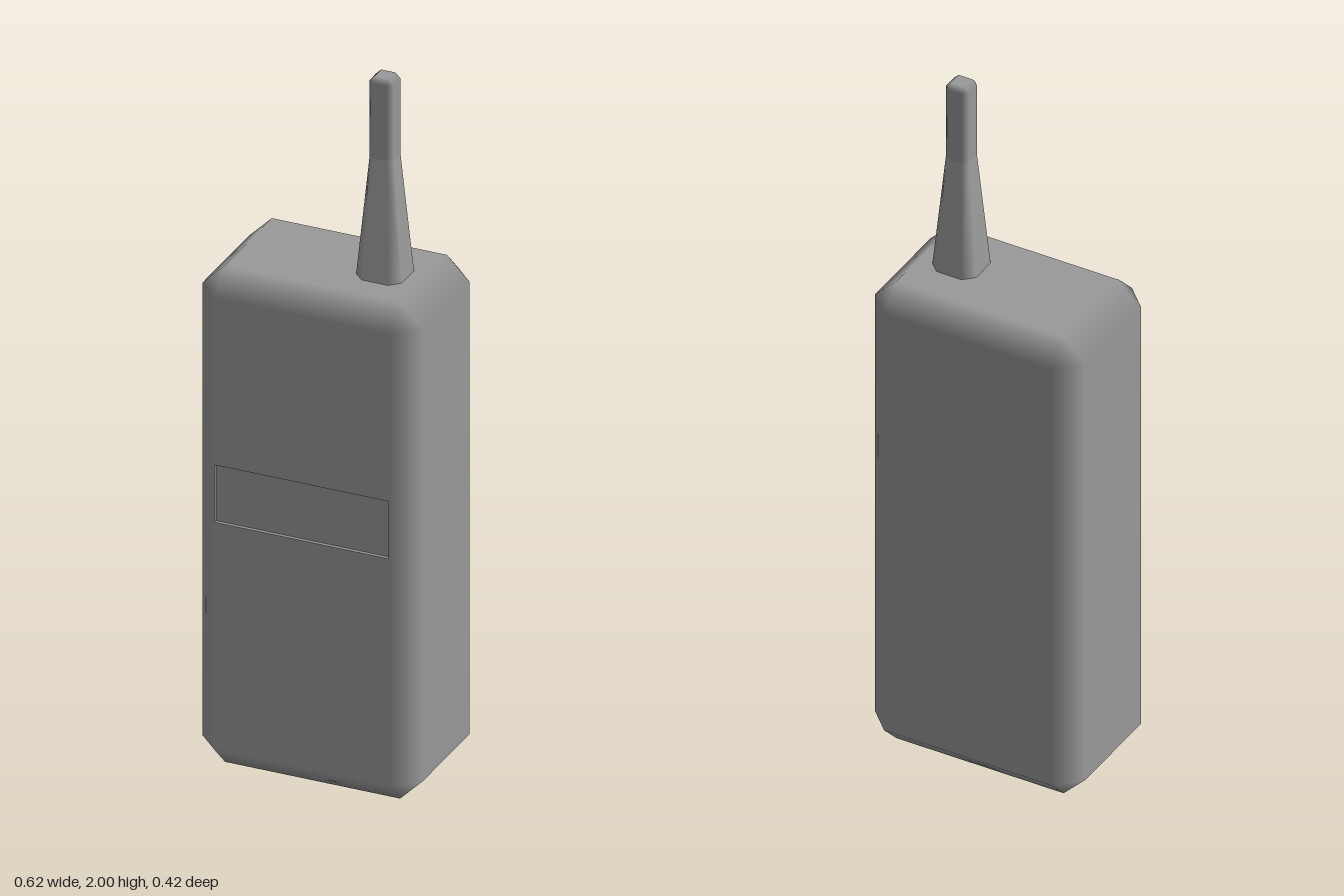
import * as THREE from 'three';
import { ConvexGeometry } from 'three/addons/geometries/ConvexGeometry.js';

const signs = [-1, 1];

// Convex solid whose vertices carry the normal of the main face they belong to,
// so wide faces stay flat and the chamfers blend between them.
function blendedHull(entries) {
  const geometry = new ConvexGeometry(entries.map((e) => e.point));
  const position = geometry.attributes.position;
  const normal = geometry.attributes.normal;
  const v = new THREE.Vector3();
  for (let i = 0; i < position.count; i++) {
    v.fromBufferAttribute(position, i);
    const nearest = entries.reduce((a, b) =>
      (b.point.distanceToSquared(v) < a.point.distanceToSquared(v) ? b : a));
    normal.setXYZ(i, ...nearest.normal.toArray());
  }
  return geometry;
}

// Box with a single 45 degree chamfer on every edge, centred on the origin
function chamferedBox(hx, hy, hz, c) {
  const entries = [];
  for (const x of signs) for (const y of signs) for (const z of signs) {
    for (let axis = 0; axis < 3; axis++) {
      const inset = [c, c, c];
      inset[axis] = 0;
      const n = [0, 0, 0];
      n[axis] = [x, y, z][axis];
      entries.push({
        point: new THREE.Vector3(x * (hx - inset[0]), y * (hy - inset[1]), z * (hz - inset[2])),
        normal: new THREE.Vector3(...n),
      });
    }
  }
  return blendedHull(entries);
}

// Square taper with chamfered corners, from y = 0 to y = height
function chamferedTaper(bottom, bottomFlat, top, topFlat, height) {
  const entries = [];
  const slope = (bottom - top) / height;
  for (const [y, h, f] of [[0, bottom, bottomFlat], [height, top, topFlat]]) {
    for (const a of signs) for (const b of signs) {
      entries.push({ point: new THREE.Vector3(a * h, y, b * f), normal: new THREE.Vector3(a, slope, 0).normalize() });
      entries.push({ point: new THREE.Vector3(a * f, y, b * h), normal: new THREE.Vector3(0, slope, b).normalize() });
    }
  }
  return blendedHull(entries);
}

// Remove the flat +z face so that a pierced one can take its place
function withoutFront(geometry) {
  const p = geometry.attributes.position.array;
  const n = geometry.attributes.normal.array;
  const points = [], normals = [];
  for (let i = 0; i < p.length; i += 9) {
    if (n[i + 2] > 0.9 && n[i + 5] > 0.9 && n[i + 8] > 0.9) continue;
    points.push(...p.slice(i, i + 9));
    normals.push(...n.slice(i, i + 9));
  }
  const result = new THREE.BufferGeometry();
  result.setAttribute('position', new THREE.Float32BufferAttribute(points, 3));
  result.setAttribute('normal', new THREE.Float32BufferAttribute(normals, 3));
  return result;
}

function rectangle(PathType, x0, y0, x1, y1) {
  return new PathType([[x0, y0], [x1, y0], [x1, y1], [x0, y1]].map(([x, y]) => new THREE.Vector2(x, y)));
}

// Inward-facing box, open at the front
function recess(width, height, depth) {
  const geometry = new THREE.BoxGeometry(width, height, depth);
  const index = Array.from(geometry.index.array);
  index.splice(24, 6);
  geometry.setIndex(index.reverse());
  const normals = geometry.attributes.normal;
  for (let i = 0; i < normals.array.length; i++) normals.array[i] *= -1;
  return geometry;
}

export function createModel() {
  const model = new THREE.Group();
  model.name = 'handset';
  const grey = new THREE.MeshStandardMaterial({ color: 0x999999 });
  grey.name = 'grey';

  function add(name, geometry, x, y, z) {
    const mesh = new THREE.Mesh(geometry, grey);
    mesh.name = name;
    mesh.position.set(x, y, z);
    model.add(mesh);
  }

  // Body
  const hx = 0.31, hy = 0.715, hz = 0.208, c = 0.064;
  add('body', withoutFront(chamferedBox(hx, hy, hz, c)), 0, hy, 0);

  // Front face with its shallow display recess
  const left = -0.245, right = 0.243, low = 0.72, high = 0.885, depth = 0.01;
  const face = rectangle(THREE.Shape, -hx + c, c, hx - c, 2 * hy - c);
  face.holes.push(rectangle(THREE.Path, left, low, right, high));
  add('frontFace', new THREE.ShapeGeometry(face), 0, 0, hz);
  add('displayRecess', recess(right - left, high - low, depth),
    (left + right) / 2, (low + high) / 2, hz - depth / 2);

  // Antenna: tapered base and slim rod
  const ax = 0.142, az = 0.009;
  add('antennaBase', chamferedTaper(0.065, 0.038, 0.034, 0.02, 0.35), ax, 1.42, az);
  add('antennaRod', chamferedBox(0.034, 0.15, 0.034, 0.014), ax, 1.85, az);

  return model;
}
